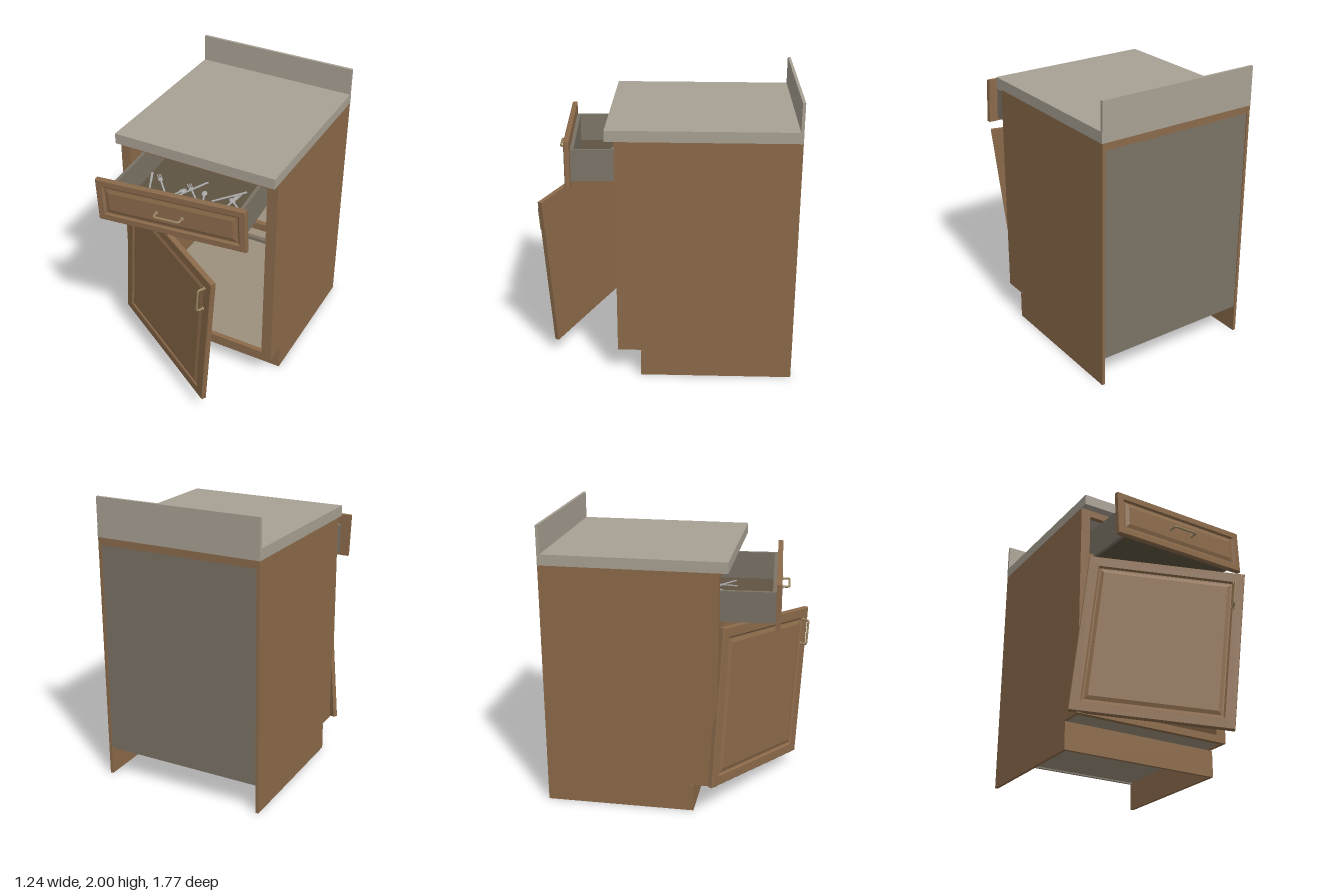
import * as THREE from 'three';

const mat = (color, extra = {}) => new THREE.MeshStandardMaterial({ color, ...extra });
const wood = mat(0x8b6a4a), woodFlat = mat(0x8b6a4a, { flatShading: true });
const stone = mat(0xa8a093), lining = mat(0x7a7265), floorMat = mat(0x9c8f7c);
const brass = mat(0x9a8560), steel = mat(0xa9a9a9);

function add(parent, name, geometry, material) {
  const mesh = new THREE.Mesh(geometry, material);
  mesh.name = name;
  parent.add(mesh);
  return mesh;
}

// Box given by its extents on each axis
function board(parent, name, material, [x0, x1], [y0, y1], [z0, z1]) {
  const mesh = add(parent, name, new THREE.BoxGeometry(x1 - x0, y1 - y0, z1 - z0), material);
  mesh.position.set((x0 + x1) / 2, (y0 + y1) / 2, (z0 + z1) / 2);
  return mesh;
}

// Moulded front: rectangles stepped inwards, front face at z = 0
function mouldedPanel(w, h, t, border) {
  const rings = [[0, -t], [0, -0.005], [0.005, 0], [border, 0], [border + 0.012, -0.011],
    [border + 0.02, -0.011], [border + 0.045, -0.002]];
  const corner = (i, k) => {
    const [inset, z] = rings[i], x = w / 2 - inset, y = h / 2 - inset;
    return [[-x, -y, z], [x, -y, z], [x, y, z], [-x, y, z]][k % 4];
  };
  const pos = [];
  const quad = (a, b, c, d) => pos.push(...a, ...b, ...c, ...a, ...c, ...d);
  for (let i = 0; i < rings.length - 1; i++)
    for (let k = 0; k < 4; k++)
      quad(corner(i, k), corner(i, k + 1), corner(i + 1, k + 1), corner(i + 1, k));
  const last = rings.length - 1;
  quad(corner(last, 0), corner(last, 1), corner(last, 2), corner(last, 3));
  quad(corner(0, 3), corner(0, 2), corner(0, 1), corner(0, 0));
  const g = new THREE.BufferGeometry();
  g.setAttribute('position', new THREE.Float32BufferAttribute(pos, 3));
  g.computeVertexNormals();
  return g;
}

// Bow handle along x, standing out towards +z
function handle(name) {
  const group = new THREE.Group();
  group.name = name;
  const L = 0.092, out = 0.05, r = 0.018;
  const p = (x, z) => new THREE.Vector3(x, 0, z);
  const path = new THREE.CurvePath();
  path.add(new THREE.LineCurve3(p(-L, 0), p(-L, out - r)));
  path.add(new THREE.QuadraticBezierCurve3(p(-L, out - r), p(-L, out), p(-L + r, out)));
  path.add(new THREE.LineCurve3(p(-L + r, out), p(L - r, out)));
  path.add(new THREE.QuadraticBezierCurve3(p(L - r, out), p(L, out), p(L, out - r)));
  path.add(new THREE.LineCurve3(p(L, out - r), p(L, 0)));
  add(group, 'handleBar', new THREE.TubeGeometry(path, 48, 0.008, 8), brass);
  for (const s of [-1, 1]) {
    const foot = add(group, 'handleFoot', new THREE.CylinderGeometry(0.012, 0.014, 0.008, 12), brass);
    foot.rotation.x = Math.PI / 2;
    foot.position.set(s * L, 0, 0.004);
  }
  return group;
}

function buildCabinet(root) {
  const cab = new THREE.Group();
  cab.name = 'cabinet';
  root.add(cab);
  const L = -0.565, R = 0.615, back = -0.885, T = 0.022;
  // Sides, back, floor and shelf
  for (const [n, x] of [['right', L], ['left', R - T]]) {
    board(cab, n + 'SidePanel', wood, [x, x + T], [0.2, 1.73], [back, 0.29]);
    board(cab, n + 'KickSide', wood, [x, x + T], [0, 0.2], [back, 0.142]);
  }
  board(cab, 'backPanel', lining, [L + T, R - T], [0.2, 1.68], [back + 0.006, back + 0.022]);
  board(cab, 'backRail', wood, [L + T, R - T], [1.68, 1.73], [back + 0.001, back + 0.022]);
  board(cab, 'cabinetFloor', floorMat, [L + T, R - T], [0.212, 0.24], [back + 0.022, 0.29]);
  board(cab, 'shelf', floorMat, [L + T, R - T], [0.82, 0.848], [back + 0.022, -0.2]);
  board(cab, 'kickBoard', wood, [L, R], [0, 0.192], [0.142, 0.165]);
  // Face frame
  const fz = [0.29, 0.325], inner = [-0.495, 0.54];
  board(cab, 'rightStile', wood, [L, inner[0]], [0.2, 1.73], fz);
  board(cab, 'leftStile', wood, [inner[1], R], [0.2, 1.73], fz);
  for (const [n, y] of [['topRail', [1.68, 1.73]], ['middleRail', [1.335, 1.385]], ['bottomRail', [0.2, 0.25]]])
    board(cab, n, wood, inner, y, fz);
  // Worktop and splashback
  board(root, 'worktop', stone, [L - 0.003, R + 0.002], [1.73, 1.805], [back, 0.385]);
  board(root, 'splashback', stone, [L - 0.003, R], [1.805, 2], [back, -0.865]);
}

// Cutlery lying on the drawer bottom
function buildCutlery(drawer, y) {
  for (let i = 0; i < 9; i++) {
    const item = new THREE.Group();
    item.name = ['knife', 'fork', 'spoon'][i % 3];
    board(item, 'cutleryHandle', steel, [-0.006, 0.006], [0, 0.006], [-0.09, 0.06]);
    if (i % 3 === 0) board(item, 'blade', steel, [-0.008, 0.008], [0.001, 0.005], [-0.2, -0.09]);
    else if (i % 3 === 1) {
      board(item, 'forkNeck', steel, [-0.015, 0.015], [0, 0.005], [-0.12, -0.09]);
      for (const x of [-0.012, 0, 0.012])
        board(item, 'tine', steel, [x - 0.003, x + 0.003], [0, 0.005], [-0.17, -0.12]);
    } else {
      const bowl = add(item, 'spoonBowl', new THREE.SphereGeometry(0.02, 12, 8), steel);
      bowl.scale.set(1, 0.3, 1.6);
      bowl.position.set(0, 0.005, -0.115);
    }
    item.position.set(-0.36 + i * 0.085, y + 0.004 * (i % 2), -0.4 - 0.05 * Math.sin(i * 2.3));
    item.rotation.y = 0.8 * Math.sin(i * 1.7 + 0.5);
    drawer.add(item);
  }
}

// Crooked, half-open drawer; origin at the middle of its front face
function buildDrawer(root) {
  const drawer = new THREE.Group();
  drawer.name = 'drawer';
  add(drawer, 'drawerFront', mouldedPanel(1.067, 0.312, 0.036, 0.045), woodFlat);
  const W = 0.465, y = [-0.133, 0.082], z0 = -0.95, z1 = -0.036, t = 0.024;
  for (const [n, x] of [['Right', -W], ['Left', W - t]])
    board(drawer, 'drawerSide' + n, lining, [x, x + t], y, [z0, z1]);
  board(drawer, 'drawerBack', lining, [-W + t, W - t], y, [z0, z0 + t]);
  board(drawer, 'drawerInnerFront', lining, [-W + t, W - t], y, [z1 - t, z1]);
  board(drawer, 'drawerBottom', mat(0x5f5442), [-W + t, W - t], [y[0], y[0] + 0.015], [z0 + t, z1 - t]);
  buildCutlery(drawer, y[0] + 0.016);
  drawer.add(handle('drawerHandle'));
  drawer.position.set(0.025, 1.523, 0.693);
  drawer.rotation.set(0, 0.068, 0.041, 'YXZ');
  root.add(drawer);
}

// Sagging, open door, placed by three corners of its front face
function buildDoor(root) {
  const door = new THREE.Group();
  door.name = 'door';
  const bl = new THREE.Vector3(-0.62, 0.215, 0.305);
  const tl = new THREE.Vector3(-0.515, 1.345, 0.355);
  const tr = new THREE.Vector3(0.422, 1.23, 0.868);
  const u = tr.clone().sub(tl), v = tl.clone().sub(bl);
  const w = u.length(), h = v.length();
  u.normalize();
  const n = u.clone().cross(v).normalize();
  v.crossVectors(n, u);
  door.quaternion.setFromRotationMatrix(new THREE.Matrix4().makeBasis(u, v, n));
  door.position.copy(bl).add(tr).multiplyScalar(0.5);
  add(door, 'doorPanel', mouldedPanel(w, h, 0.036, 0.07), woodFlat);
  const pull = handle('doorHandle');
  pull.rotation.z = Math.PI / 2;
  pull.position.set(w / 2 - 0.068, h / 2 - 0.175, 0);
  door.add(pull);
  root.add(door);
}

export function createModel() {
  const root = new THREE.Group();
  root.name = 'kitchenBaseCabinet';
  buildCabinet(root);
  buildDrawer(root);
  buildDoor(root);
  return root;
}
